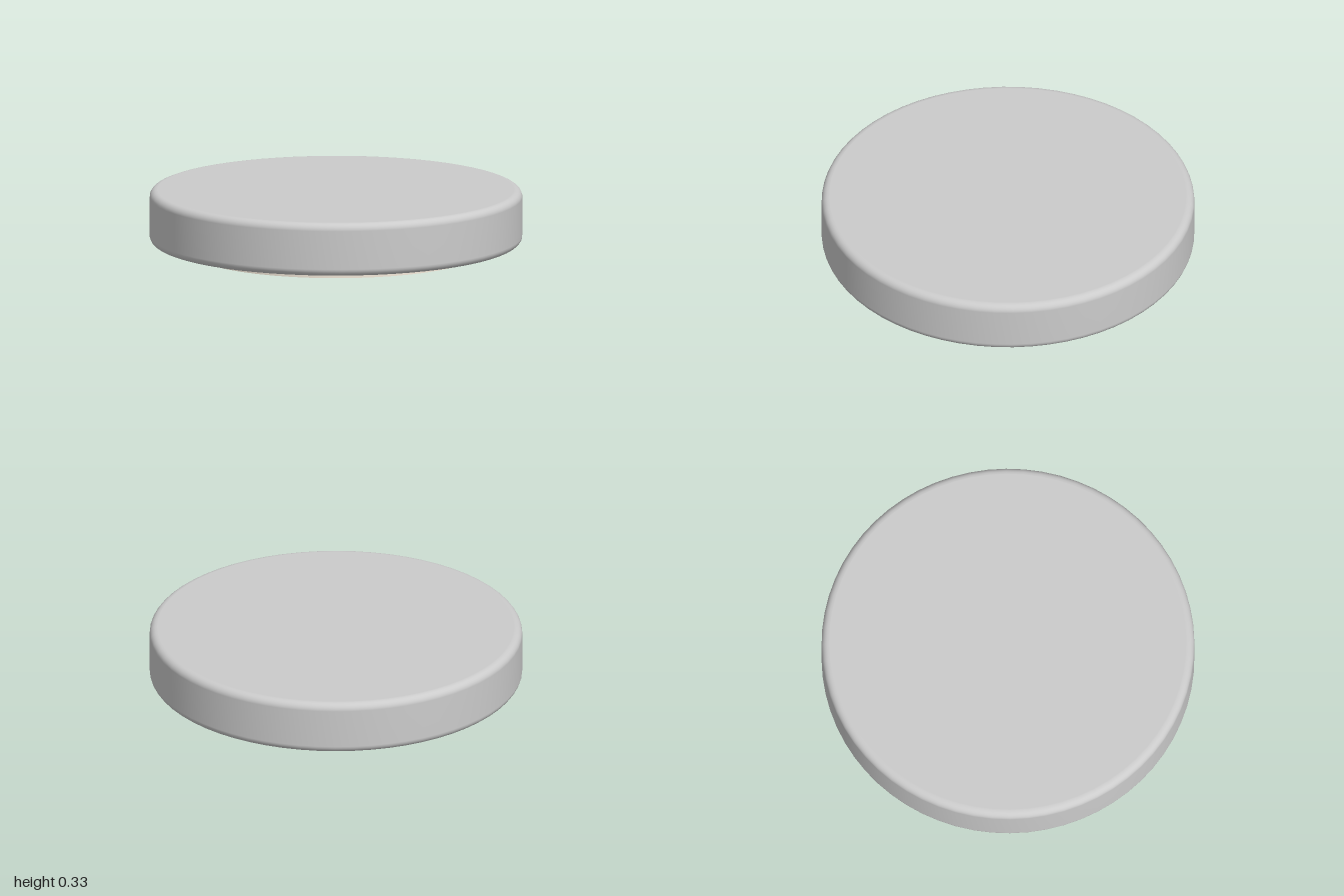
import * as THREE from 'three';

const BASE_TOP = 0.045, TOP = 0.333, RADIUS = 1, BEVEL = 0.04;

// Disc profile from the bottom centre, round both rims, to the top centre
function discProfile() {
  const inner = RADIUS - BEVEL, steps = 6, support = 0.003;
  const points = [new THREE.Vector2(0, BASE_TOP), new THREE.Vector2(inner - support, BASE_TOP)];
  const addRim = (cy, start) => {
    for (let i = 0; i <= steps; i++) {
      const a = start + (i / steps) * Math.PI / 2;
      points.push(new THREE.Vector2(inner + BEVEL * Math.cos(a), cy + BEVEL * Math.sin(a)));
    }
  };
  addRim(BASE_TOP + BEVEL, -Math.PI / 2);
  addRim(TOP - BEVEL, 0);
  points.push(new THREE.Vector2(inner - support, TOP), new THREE.Vector2(0, TOP));
  return points;
}

export function createModel() {
  const model = new THREE.Group();
  model.name = 'roundPuck';

  // Main disc with softly rounded rims
  const disc = new THREE.Mesh(
    new THREE.LatheGeometry(discProfile(), 64),
    new THREE.MeshStandardMaterial({ color: 0xcccccc })
  );
  disc.name = 'disc';
  model.add(disc);

  // Cream pad underneath
  const pad = new THREE.Mesh(
    new THREE.CylinderGeometry(0.8, 0.8, BASE_TOP, 48),
    new THREE.MeshStandardMaterial({ color: 0xf5ebdc })
  );
  pad.name = 'basePad';
  pad.position.y = BASE_TOP / 2;
  model.add(pad);

  return model;
}
